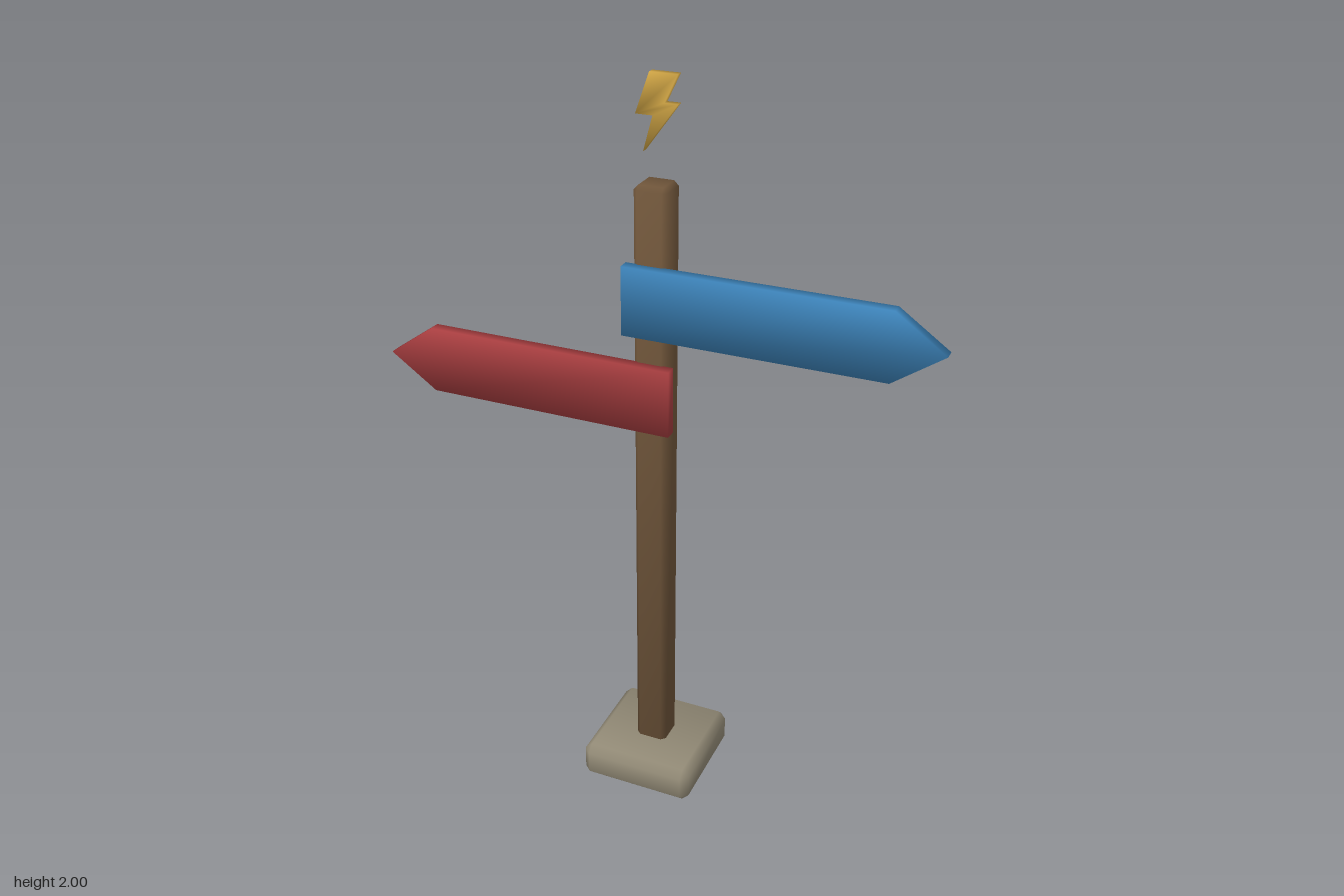
import * as THREE from 'three';
import { mergeVertices } from 'three/addons/utils/BufferGeometryUtils.js';
import { ConvexGeometry } from 'three/addons/geometries/ConvexGeometry.js';

const material = (name, color) => {
  const m = new THREE.MeshStandardMaterial({ color });
  m.name = name;
  return m;
};

// Weld the corners and average face normals by corner angle for soft shading
function soften(source) {
  source.deleteAttribute('normal');
  source.deleteAttribute('uv');
  const geo = mergeVertices(source, 1e-4);
  geo.clearGroups();
  const pos = geo.attributes.position, index = geo.index;
  const normals = Array.from({ length: pos.count }, () => new THREE.Vector3());
  for (let i = 0; i < index.count; i += 3) {
    const ids = [0, 1, 2].map((k) => index.getX(i + k));
    const p = ids.map((id) => new THREE.Vector3().fromBufferAttribute(pos, id));
    const face = new THREE.Triangle(...p).getNormal(new THREE.Vector3());
    ids.forEach((id, k) => {
      const a = p[(k + 1) % 3].clone().sub(p[k]);
      const b = p[(k + 2) % 3].clone().sub(p[k]);
      normals[id].addScaledVector(face, a.angleTo(b));
    });
  }
  const flat = normals.flatMap((n) => n.normalize().toArray());
  geo.setAttribute('normal', new THREE.Float32BufferAttribute(flat, 3));
  return geo;
}

// Box with every edge cut by c
function chamferedBox(w, h, d, c) {
  const points = [];
  for (const x of [-1, 1]) for (const y of [-1, 1]) for (const z of [-1, 1]) {
    for (let axis = 0; axis < 3; axis++) {
      const inset = [c, c, c];
      inset[axis] = 0;
      points.push(new THREE.Vector3(
        x * (w / 2 - inset[0]), y * (h / 2 - inset[1]), z * (d / 2 - inset[2])));
    }
  }
  return soften(new ConvexGeometry(points));
}

// Flat outline given thickness from z0 to z1
function plate(outline, z0, z1) {
  const shape = new THREE.Shape(outline.map(([x, y]) => new THREE.Vector2(x, y)));
  const geo = new THREE.ExtrudeGeometry(shape, { depth: z1 - z0, bevelEnabled: false });
  return soften(geo.translate(0, 0, z0));
}

export function createModel() {
  const group = new THREE.Group();
  group.name = 'signpost';
  const add = (name, geo, mat, y = 0) => {
    const mesh = new THREE.Mesh(geo, mat);
    mesh.name = name;
    mesh.position.y = y;
    group.add(mesh);
  };

  const stone = material('stone', 0x928a76);
  const wood = material('wood', 0x6f553a);
  const blue = material('bluePaint', 0x3c82b8);
  const red = material('redPaint', 0xa83e40);
  const gold = material('gold', 0xd0a545);

  add('base', chamferedBox(0.32, 0.104, 0.32, 0.02), stone, 0.052);
  add('post', chamferedBox(0.088, 1.66, 0.088, 0.012), wood, 0.91);

  // Arrow boards, one pointing each way
  const board = (dir) => plate([
    [-0.063 * dir, -0.09], [0.612 * dir, -0.09], [0.74 * dir, 0],
    [0.612 * dir, 0.09], [-0.063 * dir, 0.09],
  ], 0.04, 0.071);
  add('leftArrowBoard', board(1), blue, 1.455);
  add('rightArrowBoard', board(-1), red, 1.197);

  // Lightning bolt floating over the post
  add('lightningBolt', plate([
    [-0.014, 2], [0.057, 2], [0.024, 1.932], [0.058, 1.932],
    [-0.03, 1.813], [-0.006, 1.9], [-0.05, 1.9],
  ], -0.009, 0.009), gold);

  return group;
}
